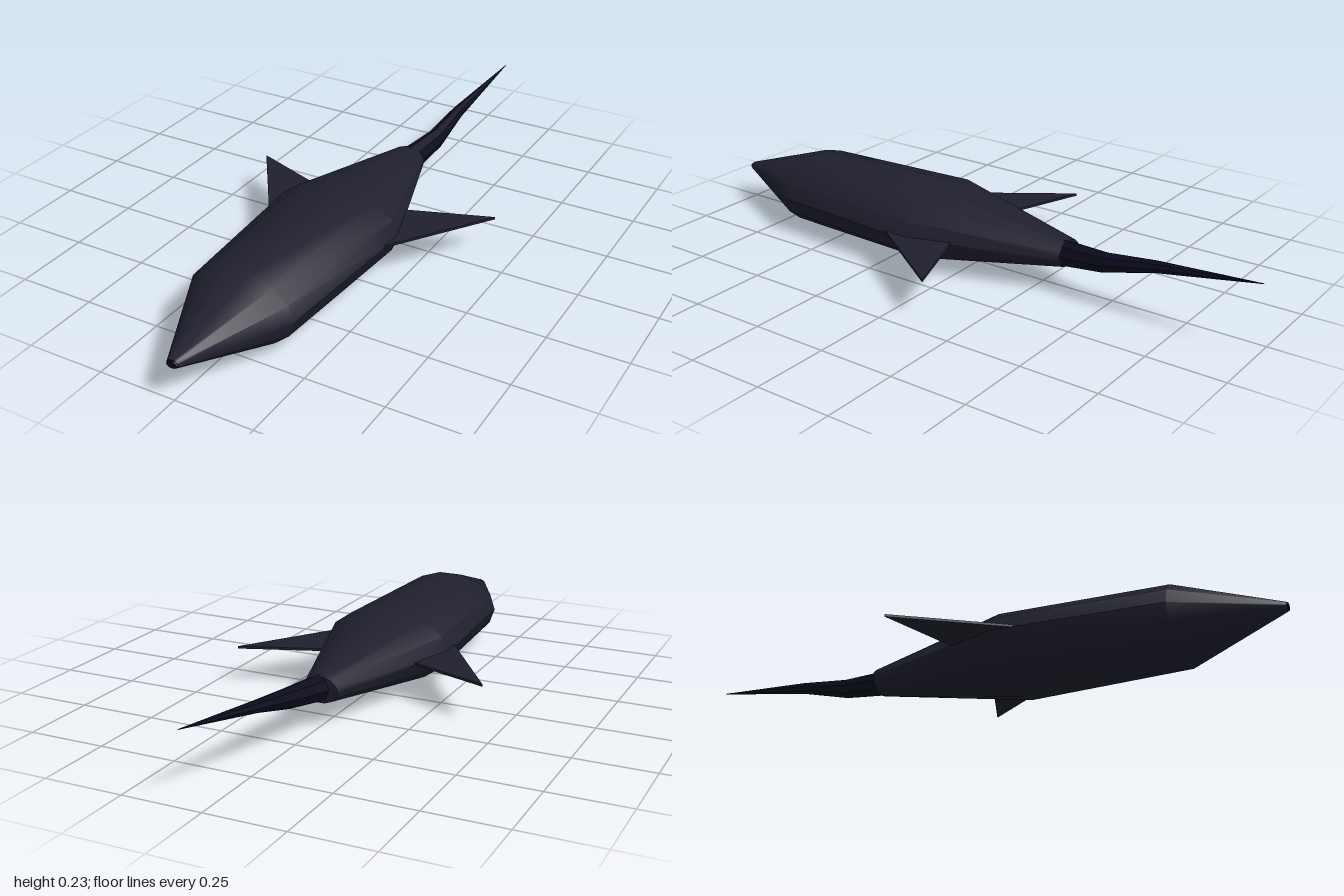
import * as THREE from 'three';
import { toCreasedNormals } from 'three/addons/utils/BufferGeometryUtils.js';

const hide = new THREE.MeshStandardMaterial({ color: 0x1f1f2e });
hide.name = 'dark slate';
const dark = new THREE.MeshStandardMaterial({ color: 0x0b0b1e });
dark.name = 'midnight blue';

// Skin over elliptical rings [z, centreX, centreY, radiusX, radiusY], listed front to back
function loft(rings, sides, crease) {
  const pos = [], index = [];
  for (const [z, cx, cy, rx, ry] of rings) {
    for (let j = 0; j < sides; j++) {
      const a = (j / sides) * Math.PI * 2;
      pos.push(cx + rx * Math.cos(a), cy + ry * Math.sin(a), z);
    }
  }
  for (let i = 0; i < rings.length - 1; i++) {
    for (let j = 0; j < sides; j++) {
      const k = (j + 1) % sides;
      const a = i * sides + j, b = i * sides + k;
      index.push(a, a + sides, b, b, a + sides, b + sides);
    }
  }
  // flat end caps
  const last = (rings.length - 1) * sides;
  for (let j = 1; j < sides - 1; j++) {
    index.push(0, j, j + 1, last, last + j + 1, last + j);
  }
  const g = new THREE.BufferGeometry();
  g.setAttribute('position', new THREE.Float32BufferAttribute(pos, 3));
  g.setIndex(index);
  return toCreasedNormals(g, crease);
}

export function createModel() {
  const model = new THREE.Group();
  const add = (name, geometry, material) => {
    const mesh = new THREE.Mesh(geometry, material);
    mesh.name = name;
    model.add(mesh);
    return mesh;
  };

  // Flattened spindle body
  add('body', loft([
    [0.995, 0, 0.122, 0.02, 0.013],
    [0.68, 0, 0.12, 0.176, 0.117],
    [0.14, 0, 0.122, 0.213, 0.119],
    [-0.34, 0, 0.122, 0.058, 0.042],
  ], 14, 0.62), hide);

  // Small blunt nose tip
  add('nose', loft([
    [1, 0, 0.122, 0.017, 0.011],
    [0.99, 0, 0.122, 0.02, 0.013],
  ], 14, 0.6), dark);

  // Thin swept side fins, mirrored
  for (const s of [1, -1]) {
    const fin = new THREE.Shape([
      new THREE.Vector2(s * 0.1, -0.37),
      new THREE.Vector2(s * 0.425, 0.105),
      new THREE.Vector2(s * 0.08, -0.02),
    ]);
    const g = new THREE.ExtrudeGeometry(fin, { depth: 0.008, bevelEnabled: false });
    g.rotateX(-Math.PI / 2);
    g.translate(0, 0.121, 0);
    add(s > 0 ? 'leftFin' : 'rightFin', g, hide);
  }

  // Curved tapering tail
  add('tail', loft([
    [-0.3, 0.005, 0.12, 0.042, 0.045],
    [-0.48, 0.029, 0.139, 0.031, 0.034],
    [-0.65, 0.032, 0.172, 0.021, 0.02],
    [-1, 0.06, 0.225, 0.001, 0.001],
  ], 8, 0.7), dark);

  return model;
}
